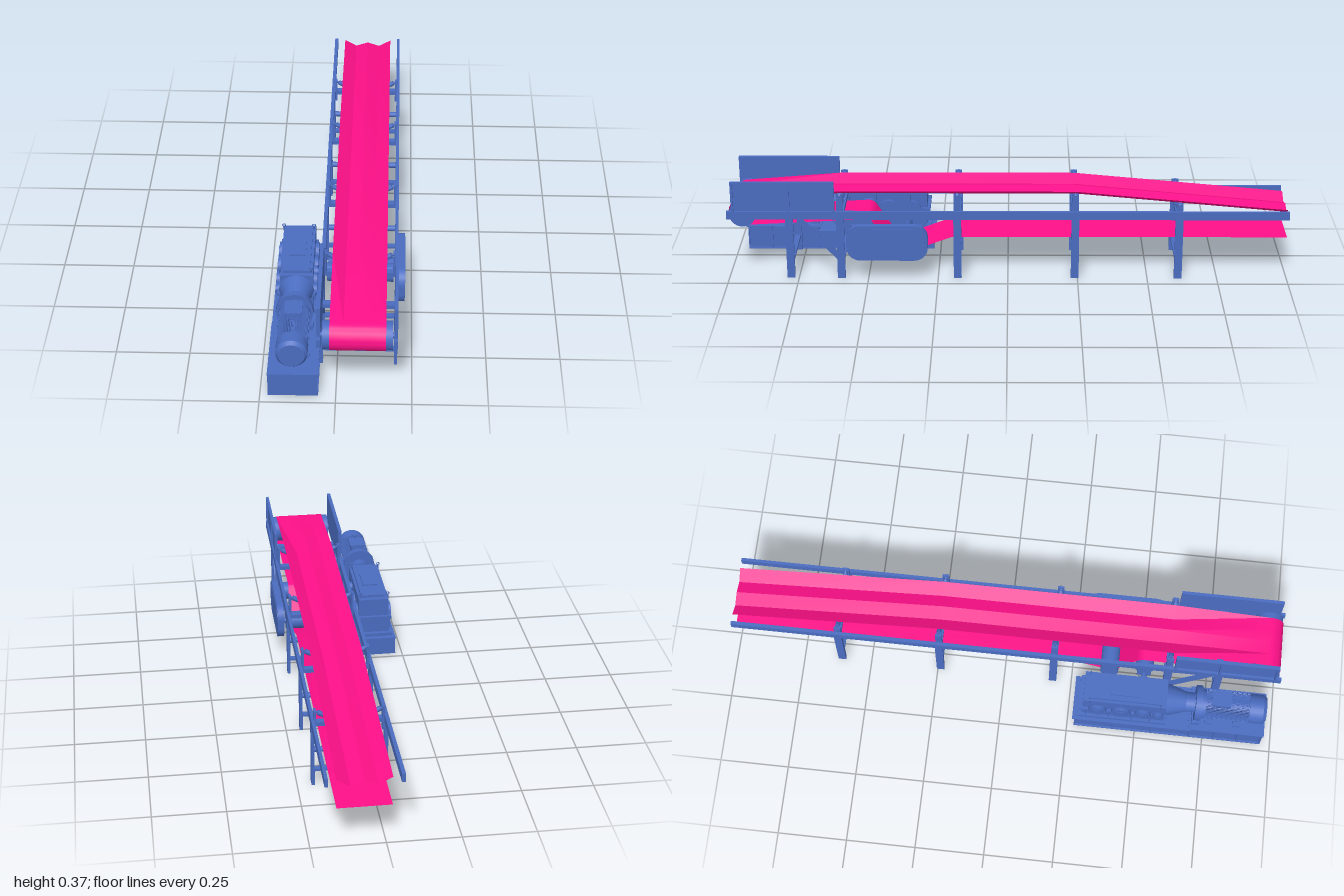
import * as THREE from 'three';
import { toCreasedNormals } from 'three/addons/utils/BufferGeometryUtils.js';

const blue = new THREE.MeshStandardMaterial({ color: 0x4a6cc0 });
const pink = new THREE.MeshStandardMaterial({ color: 0xff1089, side: THREE.DoubleSide });
const MID = 0.0715; // belt centre line in x
const RAILS = [[-0.061, -0.048], [0.19, 0.201]];

function add(group, name, geo, mat = blue) {
  const mesh = new THREE.Mesh(geo, mat);
  mesh.name = name;
  group.add(mesh);
  return mesh;
}
function box(group, name, x0, x1, y0, y1, z0, z1) {
  const m = add(group, name, new THREE.BoxGeometry(x1 - x0, y1 - y0, z1 - z0));
  m.position.set((x0 + x1) / 2, (y0 + y1) / 2, (z0 + z1) / 2);
  return m;
}
// Cylinder between two points
function rod(group, name, a, b, r, r2 = r, sides = 24) {
  const p = new THREE.Vector3(...a), q = new THREE.Vector3(...b);
  const m = add(group, name, new THREE.CylinderGeometry(r2, r, p.distanceTo(q), sides));
  m.position.copy(p).add(q).multiplyScalar(0.5);
  m.quaternion.setFromUnitVectors(new THREE.Vector3(0, 1, 0), q.sub(p).normalize());
  return m;
}
function part(parent, name) {
  const g = new THREE.Group();
  g.name = name;
  parent.add(g);
  return g;
}

// Belt lofted along a path of [z, y, trough amount]
function beltGeometry() {
  const path = [[-1, 0.225, 1], [-0.24, 0.295, 1], [0.6, 0.295, 1]];
  const arc = (z, y, r, a0, a1, n) => {
    for (let i = 0; i <= n; i++) {
      const a = THREE.MathUtils.degToRad(a0 + ((a1 - a0) * i) / n);
      path.push([z + r * Math.cos(a), y + r * Math.sin(a), 0]);
    }
  };
  arc(0.945, 0.241, 0.051, 90, -90, 18);
  arc(0.51, 0.178, 0.035, 90, 147, 6);
  arc(0.385, 0.113, 0.035, -33, -111, 8);
  path.push([0.2, 0.145, 0], [-1, 0.145, 0]);
  const xs = [-0.0915, -0.046, 0, 0.046, 0.0915], lift = [0.025, 0, 0.015, 0, 0.025];
  const pos = [], idx = [];
  path.forEach(([z, y, w], i) => {
    xs.forEach((x, j) => pos.push(MID + x, y + w * lift[j], z));
    if (i === 0) return;
    for (let j = 0; j < 4; j++) {
      const a = (i - 1) * 5 + j, b = i * 5 + j;
      idx.push(a, b, b + 1, a, b + 1, a + 1);
    }
  });
  const g = new THREE.BufferGeometry();
  g.setAttribute('position', new THREE.Float32BufferAttribute(pos, 3));
  g.setIndex(idx);
  return toCreasedNormals(g, 0.4);
}

function roundedPlate(z0, z1, y0, y1, r, depth) {
  const s = new THREE.Shape();
  s.absarc(z1 - r, y1 - r, r, 0, Math.PI / 2);
  s.absarc(z0 + r, y1 - r, r, Math.PI / 2, Math.PI);
  s.absarc(z0 + r, y0 + r, r, Math.PI, Math.PI * 1.5);
  s.absarc(z1 - r, y0 + r, r, Math.PI * 1.5, Math.PI * 2);
  const g = new THREE.ExtrudeGeometry(s, { depth, bevelEnabled: false, curveSegments: 10 });
  return g.rotateY(-Math.PI / 2);
}

function buildFrame(root) {
  const frame = part(root, 'frame');
  RAILS.forEach(([a, b], side) => {
    box(frame, 'rail', a, b, 0.227, 0.257, -1, 1);
    for (const z of [0.778, 0.597, 0.18, -0.24, -0.61]) box(frame, 'leg', a, b, 0, 0.23, z - 0.014, z + 0.014);
    // Diagonal brace between the front legs
    const brace = box(frame, 'brace', a + 0.001, b - 0.001, -0.01, 0.01, -0.1, 0.1);
    brace.position.set((a + b) / 2, 0.155, 0.675);
    brace.rotation.x = -0.8;
    // Side guard: thin panel with a raised border
    const guard = part(frame, 'sideGuard');
    const inner = side ? a : b - 0.004;
    box(guard, 'guardPanel', inner, inner + 0.004, 0.257, 0.367, 0.617, 0.98);
    box(guard, 'guardTop', a, b, 0.359, 0.369, 0.615, 0.982);
    for (const z of [0.615, 0.774, 0.974]) box(guard, 'guardPost', a, b, 0.225, 0.369, z, z + 0.008);
  });
  for (const z of [0.778, 0.597, 0.18, -0.24, -0.61]) {
    box(frame, 'lowerCrossbar', -0.05, 0.192, 0.052, 0.061, z - 0.01, z + 0.01);
    box(frame, 'upperCrossbar', -0.05, 0.192, 0.23, 0.245, z - 0.012, z + 0.012);
  }
}

function buildIdlers(root) {
  for (const z of [0.597, 0.18, -0.24, -0.61]) {
    const set = part(root, 'idlerSet');
    set.position.set(0, z < -0.24 ? (z + 0.24) * 0.092 : 0, z);
    rod(set, 'centreRoller', [MID - 0.044, 0.282, 0], [MID + 0.044, 0.282, 0], 0.01, 0.01, 16);
    for (const s of [-1, 1]) {
      rod(set, 'wingRoller', [MID + s * 0.05, 0.283, 0], [MID + s * 0.106, 0.311, 0], 0.009, 0.009, 16);
      rod(set, 'rollerPin', [MID + s * 0.1, 0.308, 0], [MID + s * 0.122, 0.319, 0], 0.004, 0.004, 8);
      box(set, 'bracket', MID + s * 0.116 - 0.004, MID + s * 0.116 + 0.004, 0.235, 0.321, -0.012, 0.012);
      box(set, 'innerBracket', MID + s * 0.047 - 0.002, MID + s * 0.047 + 0.002, 0.235, 0.284, -0.007, 0.007);
    }
    if (z < 0.3) rod(root, 'returnRoller', [-0.05, 0.134, z], [0.192, 0.134, z], 0.01, 0.01, 16);
  }
}

function buildDrums(root) {
  const drums = [[0.241, 0.945, 0.048], [0.178, 0.51, 0.033], [0.113, 0.385, 0.033]];
  drums.forEach(([y, z, r], i) => {
    rod(root, i ? 'driveDrum' : 'headDrum', [-0.042, y, z], [0.185, y, z], r, r, 40);
    rod(root, 'drumShaft', [i ? -0.1 : -0.055, y, z], [0.2, y, z], 0.01);
    if (!i) return;
    rod(root, 'shaftFlange', [-0.09, y, z], [-0.075, y, z], 0.018);
    for (const [a, b] of RAILS) box(root, 'bearingBlock', a + 0.002, b - 0.002, y - 0.018, 0.23, z - 0.025, z + 0.025);
  });
  // Drive gear cover
  add(root, 'gearCover', roundedPlate(0.285, 0.575, 0.078, 0.211, 0.05, 0.024)).position.x = 0.224;
  add(root, 'gearCoverFace', roundedPlate(0.297, 0.563, 0.09, 0.199, 0.042, 0.003)).position.x = 0.2255;
}

// Open-bottomed box base with flanged rims and outside ribs
function buildBase(root) {
  const base = part(root, 'driveBase');
  for (const [z0, z1, h] of [[0.275, 0.7, 0.072], [0.7, 0.963, 0.09]]) {
    box(base, 'baseTop', -0.225, -0.058, h - 0.004, h, z0 - 0.008, z1 + 0.005);
    for (const x of [-0.218, -0.069]) box(base, 'baseSide', x, x + 0.004, 0, h, z0, z1);
    for (const z of [z0, z1 - 0.004]) box(base, 'baseEnd', -0.218, -0.065, 0, h, z, z + 0.004);
    for (const x of [-0.225, -0.07]) box(base, 'baseFoot', x, x + 0.012, 0, 0.004, z0, z1);
    for (let i = 0; i <= 3; i++) {
      const z = z0 + ((z1 - z0 - 0.004) * i) / 3;
      for (const x of [-0.224, -0.065]) box(base, 'baseRib', x, x + 0.006, 0, h, z, z + 0.004);
    }
  }
}

function buildGearbox(root) {
  const gear = part(root, 'gearbox');
  box(gear, 'gearCase', -0.2, -0.088, 0.08, 0.222, 0.3, 0.6);
  box(gear, 'caseFoot', -0.212, -0.078, 0.072, 0.085, 0.285, 0.61);
  box(gear, 'splitFlange', -0.21, -0.08, 0.142, 0.154, 0.288, 0.61);
  box(gear, 'caseLid', -0.19, -0.098, 0.222, 0.232, 0.32, 0.585);
  box(gear, 'inspectionCover', -0.172, -0.116, 0.232, 0.238, 0.4, 0.5);
  for (const x of [-0.2, -0.095]) for (const z of [0.32, 0.58]) {
    const eye = add(gear, 'liftingEye', new THREE.TorusGeometry(0.005, 0.0018, 6, 14));
    eye.position.set(x, 0.237, z);
    rod(gear, 'eyeStem', [x, 0.215, z], [x, 0.233, z], 0.003, 0.003, 8);
  }
  [[0.355, 0.033], [0.44, 0.036], [0.52, 0.03], [0.575, 0.02]].forEach(([z, r]) => {
    rod(gear, 'bearingCap', [-0.213, 0.15, z], [-0.075, 0.15, z], r, r, 28);
    rod(gear, 'capBoss', [-0.216, 0.15, z], [-0.21, 0.15, z], r * 0.65, r * 0.65, 28);
  });
  for (const z of [0.315, 0.398, 0.482, 0.548]) {
    box(gear, 'caseRib', -0.208, -0.08, 0.08, 0.145, z - 0.003, z + 0.003);
  }
  // Bell housing to the motor
  rod(gear, 'bellHousing', [-0.144, 0.163, 0.6], [-0.144, 0.163, 0.675], 0.06, 0.035, 16);
  rod(gear, 'couplingTube', [-0.144, 0.163, 0.67], [-0.144, 0.163, 0.71], 0.036);
  const flange = rod(gear, 'bellFlange', [-0.144, 0.163, 0.705], [-0.144, 0.163, 0.728], 0.074, 0.074, 12);
  flange.scale.x = 0.86;
  box(gear, 'flangeFoot', -0.205, -0.083, 0.088, 0.11, 0.7, 0.73);
}

function buildMotor(root) {
  const motor = part(root, 'motor');
  motor.position.set(-0.144, 0.163, 0);
  rod(motor, 'motorBody', [0, 0, 0.72], [0, 0, 0.915], 0.045, 0.045, 32);
  rod(motor, 'motorFlange', [0, 0, 0.728], [0, 0, 0.742], 0.053, 0.053, 32);
  rod(motor, 'fanCowl', [0, 0, 0.9], [0, 0, 0.95], 0.053, 0.053, 32);
  rod(motor, 'cowlEnd', [0, 0, 0.95], [0, 0, 0.962], 0.053, 0.043, 32);
  for (let i = 0; i < 28; i++) {
    const fin = box(motor, 'coolingFin', -0.001, 0.001, -0.052, 0.052, 0.742, 0.9);
    fin.rotation.z = (i * Math.PI) / 28;
  }
  box(motor, 'terminalBox', -0.024, 0.024, 0.04, 0.068, 0.765, 0.825);
  box(motor, 'terminalLid', -0.029, 0.029, 0.066, 0.073, 0.76, 0.83);
  for (const s of [-1, 1]) for (const z of [0.765, 0.865]) {
    box(motor, 'motorFoot', s * 0.037 - 0.017, s * 0.037 + 0.017, -0.074, -0.065, z - 0.015, z + 0.015);
    box(motor, 'footWeb', s * 0.03 - 0.006, s * 0.03 + 0.006, -0.07, -0.025, z - 0.012, z + 0.012);
  }
}

export function createModel() {
  const root = new THREE.Group();
  root.name = 'beltConveyor';
  add(root, 'belt', beltGeometry(), pink);
  [buildFrame, buildIdlers, buildDrums, buildBase, buildGearbox, buildMotor].forEach((build) => build(root));
  return root;
}
